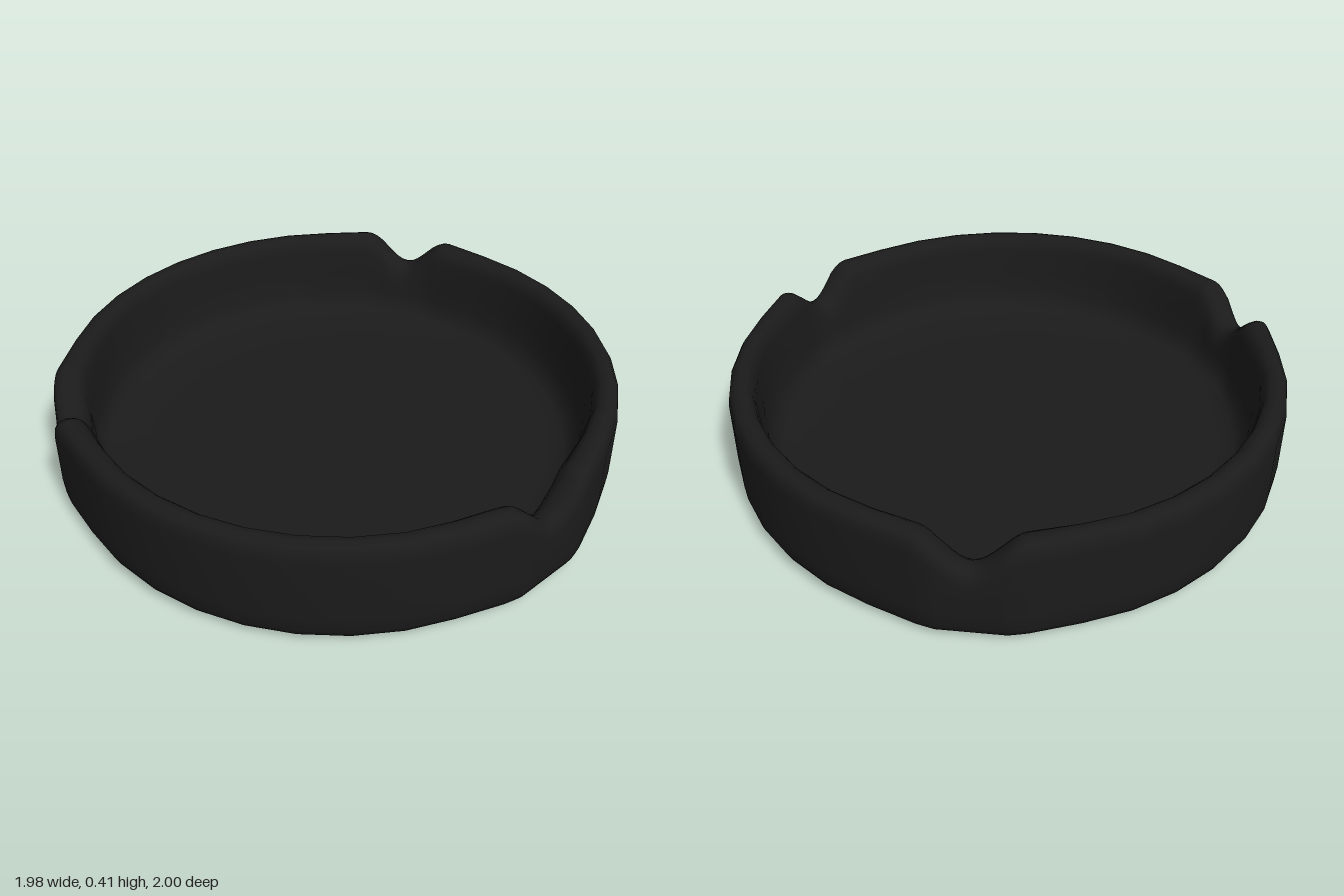
import * as THREE from 'three';

// Cross-section from base centre, round the rim, to floor centre:
// [radius, height, how far it sinks at a notch (0..1), inward shift at a notch]
const PROFILE = [
  [0, 0, 0, 0], [0.5, 0.002, 0, 0], [0.8, 0.008, 0, 0], [0.93, 0.018, 0, 0], [0.97, 0.03, 0, 0],
  [0.985, 0.06, 0, 0], [0.99, 0.12, 0, 0], [0.99, 0.24, 0.4, 0], [0.99, 0.34, 0.95, 0],
  [0.985, 0.375, 1, 0], [0.972, 0.396, 1, 0], [0.95, 0.405, 1, 0], [0.925, 0.4, 1, 0.005],
  [0.908, 0.383, 1, 0.01], [0.898, 0.35, 1, 0.018], [0.89, 0.25, 0.5, 0.018], [0.878, 0.17, 0.1, 0.012],
  [0.86, 0.125, 0, 0.005], [0.83, 0.099, 0, 0], [0.77, 0.086, 0, 0], [0.6, 0.083, 0, 0], [0, 0.083, 0, 0],
];
const rad = THREE.MathUtils.degToRad;
const HALF = 10.4; // half the angle of a notch, in degrees
const DEPTH = 0.115;

// Outline scale at a number of degrees from a notch: a flat, then an easing back to the circle
function outline(degrees) {
  const d = Math.abs(degrees);
  if (d <= 6.5) return 1.018 / Math.cos(rad(d));
  return THREE.MathUtils.mapLinear(Math.min(d, 20), 6.5, 20, 1.0245, 1);
}

// Angles round the ring: fine steps across each notch, coarse steps between
function ringSteps() {
  const steps = [];
  const fine = 16, coarse = 10, gap = 120 - 2 * HALF;
  for (let n = 0; n < 3; n++) {
    const centre = 60 + n * 120;
    for (let i = 0; i <= fine; i++) {
      const u = -1 + 2 * i / fine;
      steps.push({
        angle: rad(centre + u * HALF), scale: outline(u * HALF),
        dip: 0.5 + 0.5 * Math.cos(u * Math.PI), near: 1,
      });
    }
    for (let i = 1; i < coarse; i++) {
      const offset = HALF + gap * i / coarse;
      const away = Math.min(offset, 120 - offset);
      steps.push({ angle: rad(centre + offset), scale: outline(away), dip: 0, near: away < 25 ? 0.3 : 0 });
    }
  }
  return steps;
}

function dishGeometry() {
  const steps = ringSteps();
  const rows = PROFILE.length;
  const positions = [], indices = [];
  steps.forEach(({ angle, scale, dip, near }, i) => {
    for (const [r, y, sink, shift] of PROFILE) {
      const radius = r * scale - shift * near;
      positions.push(radius * Math.sin(angle), y - DEPTH * dip * sink, radius * Math.cos(angle) + 0.008);
    }
    const next = (i + 1) % steps.length;
    for (let j = 0; j < rows - 1; j++) {
      const a = i * rows + j, b = next * rows + j;
      // single triangles at the base and floor centres
      if (j > 0) indices.push(a, b, b + 1);
      if (j < rows - 2) indices.push(a, b + 1, a + 1);
    }
  });
  // the last row is the floor centre, whose fan is closed by the first triangle of its row
  const geometry = new THREE.BufferGeometry();
  geometry.setAttribute('position', new THREE.Float32BufferAttribute(positions, 3));
  geometry.setIndex(indices);
  geometry.computeVertexNormals();
  return geometry;
}

export function createModel() {
  const group = new THREE.Group();
  group.name = 'ashtray';
  const dish = new THREE.Mesh(dishGeometry(), new THREE.MeshStandardMaterial({ color: 0x1b1b1b }));
  dish.name = 'notchedDish';
  group.add(dish);
  return group;
}
